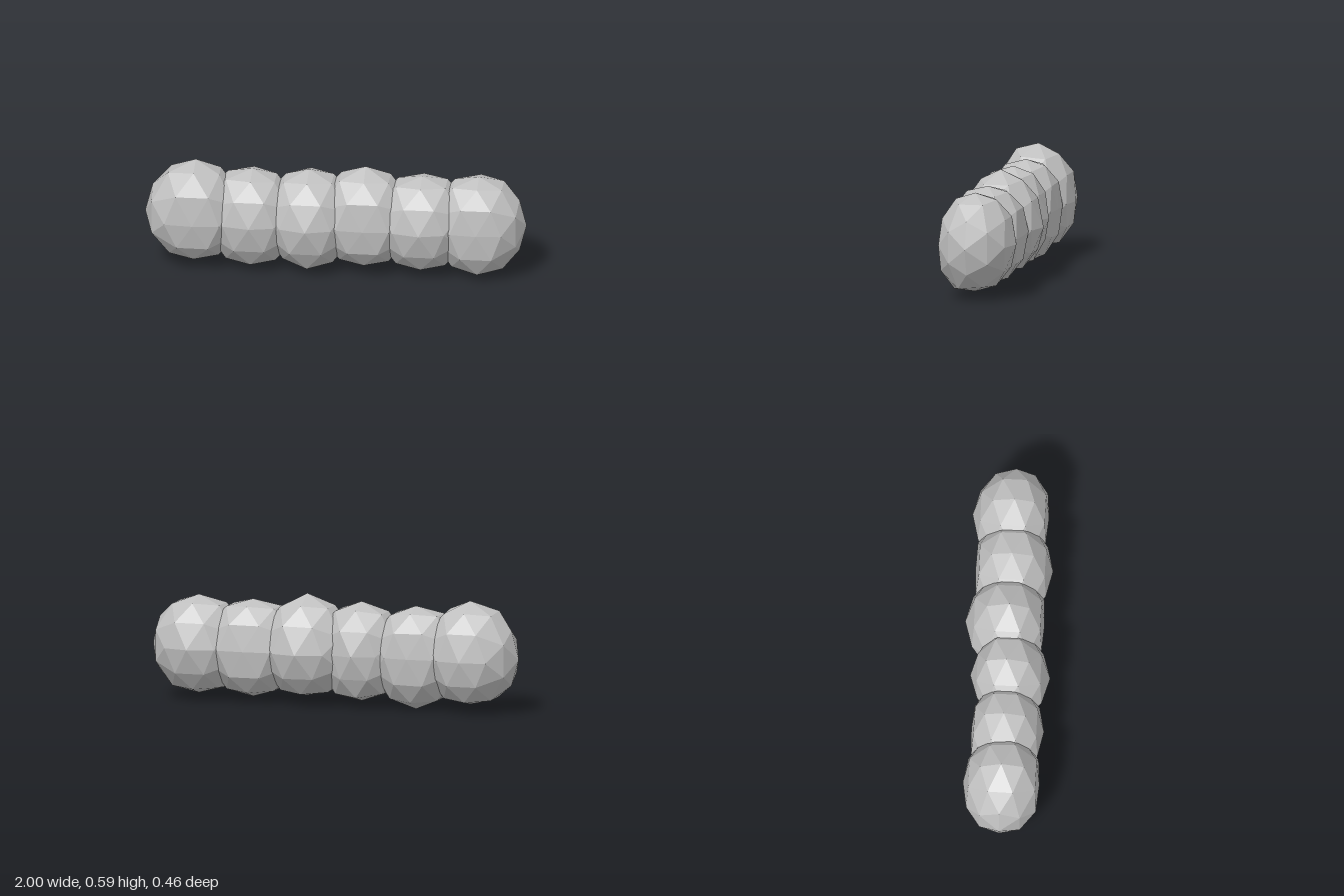
import * as THREE from 'three';

const T = (1 + Math.sqrt(5)) / 2;

// Each stone: heights of its top and bottom, depths of its front and back,
// and its uneven corners as [direction, amount pushed out or in]
const STONES = [
  {
    top: 0.585, bottom: 0.04, front: 0.2, back: 0.2,
    corners: [[[0, T, 1], 0.09], [[-1, 0, T], 0.06], [[1, 0, T], 0.07]],
  },
  {
    top: 0.545, bottom: 0.0, front: 0.21, back: 0.17,
    corners: [[[1, 0, -T], -0.04], [[T, 1, 0], -0.04]],
  },
  {
    top: 0.555, bottom: 0.03, front: 0.228, back: 0.19,
    corners: [
      [[1, 0, -T], -0.13], [[-1, 0, -T], -0.13], [[-T, 1, 0], -0.07], [[-T, -1, 0], -0.08],
      [[0, -T, 1], 0.08],
    ],
  },
  {
    top: 0.583, bottom: 0.045, front: 0.185, back: 0.23,
    corners: [[[1, 0, T], 0.04], [[-1, 0, T], 0.03], [[1, 0, -T], 0.03]],
  },
  {
    top: 0.54, bottom: 0.025, front: 0.215, back: 0.19,
    corners: [[[1, 0, -T], 0.07], [[-1, 0, -T], 0.06], [[T, 1, 0], 0.03]],
  },
  {
    top: 0.55, bottom: 0.03, front: 0.18, back: 0.22,
    corners: [[[0, -T, 1], 0.08], [[0, -T, -1], -0.02]],
  },
];
const CENTRE_Y = 0.285;
const HEIGHT = 0.278;
const DEPTH = 0.216;

// How far a point is pushed out by the uneven corners near it
function swell(v, corners) {
  return corners.reduce((sum, [dir, amount]) => {
    const closeness = v.dot(new THREE.Vector3(...dir).normalize());
    return sum + amount * Math.max(0, (closeness - 0.7) / 0.3);
  }, 1);
}

function stoneGeometry(stone) {
  const geometry = new THREE.IcosahedronGeometry(1, 1);
  geometry.rotateX(Math.PI / 2);
  const pos = geometry.attributes.position;
  const v = new THREE.Vector3();
  for (let i = 0; i < pos.count; i++) {
    v.fromBufferAttribute(pos, i);
    const reachX = v.x > 0 ? 0.25 : 0.265;
    const reachY = v.y > 0 ? stone.top - CENTRE_Y : CENTRE_Y - stone.bottom;
    const reachZ = v.z > 0 ? stone.front : stone.back;
    if (Math.max(Math.abs(v.x), Math.abs(v.y), Math.abs(v.z)) > 0.99) {
      // Outermost corner on each axis
      v.set(v.x * reachX, v.y * reachY, v.z * reachZ);
    } else {
      v.multiplyScalar(swell(v, stone.corners));
      v.set(v.x * reachX, (v.y * (reachY + HEIGHT)) / 2, (v.z * (reachZ + DEPTH)) / 2);
    }
    pos.setXYZ(i, v.x, v.y, v.z);
  }
  geometry.computeVertexNormals();
  return geometry;
}

export function createModel() {
  const group = new THREE.Group();
  group.name = 'stoneRow';
  const stoneGrey = new THREE.MeshStandardMaterial({ color: 0xc0c0c0, flatShading: true });
  stoneGrey.name = 'stoneGrey';

  // Overlapping boulders in a straight row
  STONES.forEach((stone, i) => {
    const mesh = new THREE.Mesh(stoneGeometry(stone), stoneGrey);
    mesh.name = `stone${i + 1}`;
    mesh.position.set(-0.735 + 0.297 * i, CENTRE_Y, 0);
    group.add(mesh);
  });
  return group;
}
